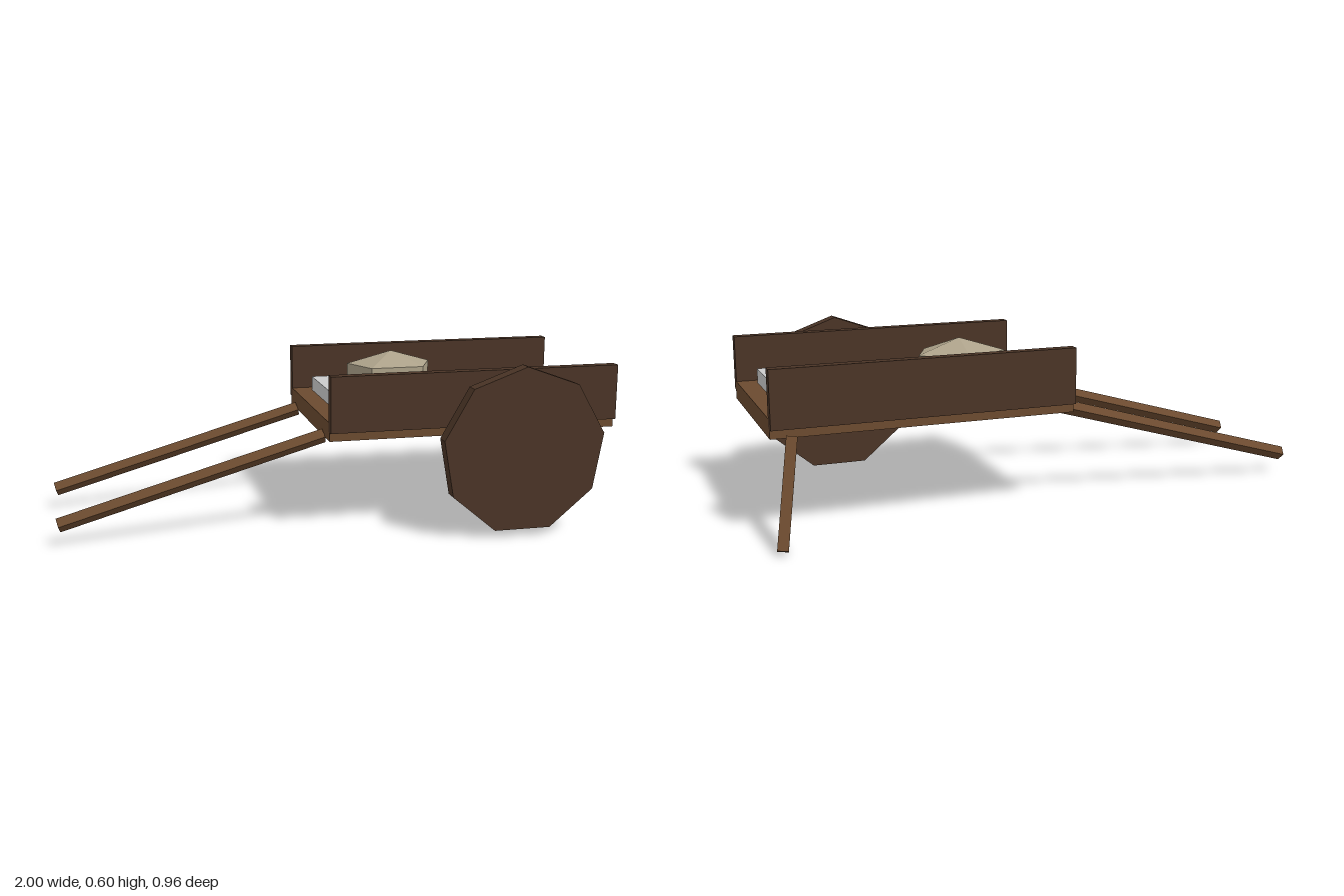
import * as THREE from 'three';

const mat = (color) => new THREE.MeshStandardMaterial({ color, flatShading: true });

export function createModel() {
  const cart = new THREE.Group();
  cart.name = 'handcart';
  const wood = mat(0x6b4a2f);
  const darkWood = mat(0x4a3426);

  const add = (name, geometry, material, x = 0, y = 0, z = 0) => {
    const mesh = new THREE.Mesh(geometry, material);
    mesh.name = name;
    mesh.position.set(x, y, z);
    cart.add(mesh);
    return mesh;
  };

  // Square pole running between two points, turned about its own length
  const pole = (name, from, to, twist) => {
    const a = new THREE.Vector3(...from);
    const b = new THREE.Vector3(...to);
    const dir = b.clone().sub(a);
    const geometry = new THREE.BoxGeometry(0.036, dir.length(), 0.036).rotateY(twist);
    const mesh = add(name, geometry, wood);
    mesh.position.copy(a).add(b).multiplyScalar(0.5);
    mesh.quaternion.setFromUnitVectors(new THREE.Vector3(0, 1, 0), dir.normalize());
  };

  // Bed with the pale load slab lying on it
  add('bed', new THREE.BoxGeometry(1.05, 0.065, 0.656), wood, 0.453, 0.373, 0);
  add('loadSlab', new THREE.BoxGeometry(0.915, 0.077, 0.524), mat(0xcccccc), 0.453, 0.419, 0);

  // Side boards and diamond-section handles, one on each side
  for (const [label, s] of [['front', 1], ['back', -1]]) {
    add(label + 'SideBoard', new THREE.BoxGeometry(1.05, 0.197, 0.038), darkWood, 0.453, 0.471, s * 0.329);
    pole(label + 'Handle', [-0.993, 0.077, s * 0.23], [-0.07, 0.341, s * 0.23], Math.PI / 4);
  }

  // Splayed prop leg at the back corner
  pole('propLeg', [0.976, 0.011, -0.458], [0.908, 0.343, -0.327], -0.2);

  // Nine-sided wheel standing clear of the front side board
  add('wheel', new THREE.CylinderGeometry(0.295, 0.295, 0.051, 9).rotateX(-Math.PI / 2), darkWood, 0.582, 0.306, 0.455);

  // Faceted stone half sunk in the slab
  const stone = new THREE.SphereGeometry(1, 5, 3).rotateY(-Math.PI / 2).scale(0.193, 0.098, 0.137);
  add('stone', stone, mat(0xaca189), 0.255, 0.484, -0.066);

  return cart;
}
